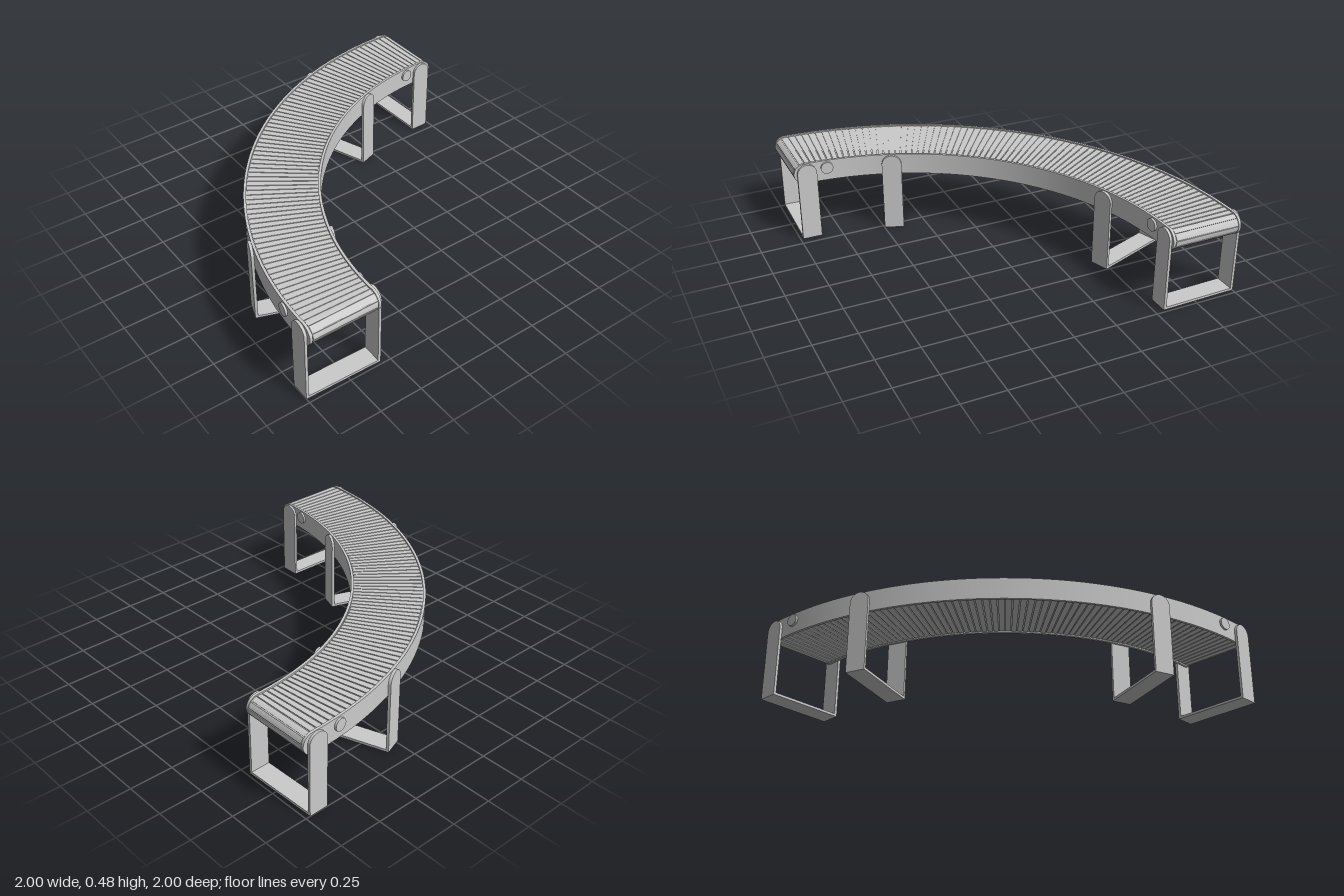
import * as THREE from 'three';
import { mergeGeometries, toCreasedNormals } from 'three/addons/utils/BufferGeometryUtils.js';

const C = 0.96;                          // turn centre is at (C, -C)
const LEN = 1.735 * Math.PI / 2;         // length of the quarter turn along its middle
const MID = 0.4175;                      // height of the conveyor's centre line
const END = 0.04;                        // straight run past each end of the turn

const material = new THREE.MeshStandardMaterial({ color: 0xcccccc });

// Position at distance s along the turn, radius r, height y
function place(s, r, y) {
  const along = Math.min(Math.max(s, 0), LEN);
  const a = along / LEN * Math.PI / 2, extra = s - along;
  return [
    C - r * Math.cos(a) + extra * Math.sin(a),
    y,
    -C + r * Math.sin(a) + extra * Math.cos(a),
  ];
}

// Solid between radii r0 and r1; each station is [inner [s, y], outer [s, y]]
function sweep(r0, r1, stations) {
  const pos = [], index = [];
  for (const [lo, hi] of stations) {
    pos.push(...place(lo[0], r1, lo[1]), ...place(lo[0], r0, lo[1]),
      ...place(hi[0], r0, hi[1]), ...place(hi[0], r1, hi[1]));
  }
  const quad = (a, b, c, d) => index.push(a, b, c, a, c, d);
  for (let k = 0; k < stations.length - 1; k++) {
    for (let i = 0; i < 4; i++) {
      const j = (i + 1) % 4, a = 4 * k, b = a + 4;
      quad(a + i, a + j, b + j, b + i);
    }
  }
  const e = 4 * (stations.length - 1);
  quad(3, 2, 1, 0);
  quad(e, e + 1, e + 2, e + 3);
  const g = new THREE.BufferGeometry();
  g.setAttribute('position', new THREE.Float32BufferAttribute(pos, 3));
  g.setIndex(index);
  return toCreasedNormals(g, 0.5);
}

// Stations of a long bar with half-round ends
function roundEnded(h, end) {
  const out = [], s0 = h - end, s1 = LEN + end - h;
  const add = (s, half) => out.push([[s, MID - half], [s, MID + half]]);
  for (let i = 0; i < 8; i++) {
    const a = (0.49 - i * 0.06) * Math.PI;
    add(s0 - h * Math.sin(a), h * Math.cos(a));
  }
  for (let i = 0; i <= 64; i++) add(s0 + (s1 - s0) * i / 64, h);
  for (let i = 7; i >= 0; i--) {
    const a = (0.49 - i * 0.06) * Math.PI;
    add(s1 + h * Math.sin(a), h * Math.cos(a));
  }
  return out;
}

// Point [s, y] at distance t round the belt loop, lifted off it
function beltPoint(t, radius, lift) {
  const s0 = radius - END + 0.003, s1 = LEN - s0;
  const run = s1 - s0, turn = Math.PI * radius, R = radius + lift;
  t = (t + 2 * (run + turn)) % (2 * (run + turn));
  if (t < run) return [s0 + t, MID + R];
  t -= run;
  if (t < turn) return [s1 + R * Math.sin(t / radius), MID + R * Math.cos(t / radius)];
  t -= turn;
  if (t < run) return [s1 - t, MID - R];
  t -= run;
  return [s0 - R * Math.sin(t / radius), MID - R * Math.cos(t / radius)];
}

function addMesh(parent, name, geometry) {
  const mesh = new THREE.Mesh(geometry, material);
  mesh.name = name;
  parent.add(mesh);
  return mesh;
}

// Group whose +x points outwards from the turn centre at the given angle
function radialGroup(name, degrees) {
  const g = new THREE.Group();
  g.name = name;
  g.position.set(C, 0, -C);
  g.rotation.y = Math.PI + THREE.MathUtils.degToRad(degrees);
  return g;
}

// Upright plate with a round top
function legPlate(x) {
  const w = 0.0575, top = 0.476 - w;
  const shape = new THREE.Shape();
  shape.moveTo(-w, 0);
  shape.lineTo(w, 0);
  shape.lineTo(w, top);
  shape.absarc(0, top, w, 0, Math.PI, false);
  shape.lineTo(-w, 0);
  const g = new THREE.ExtrudeGeometry(shape, { depth: 0.016, bevelEnabled: false, curveSegments: 20 });
  g.rotateY(Math.PI / 2);
  g.translate(x, 0, 0);
  return toCreasedNormals(g, 0.5);
}

export function createModel() {
  const model = new THREE.Group();
  model.name = 'curvedConveyor';

  // Curved side rails
  addMesh(model, 'outerRail', sweep(1.93, 1.945, roundEnded(0.0625, END)));
  addMesh(model, 'innerRail', sweep(1.525, 1.54, roundEnded(0.0625, END)));

  // Belt body and the slats around it
  addMesh(model, 'beltCore', sweep(1.54, 1.93, roundEnded(0.053, END - 0.004)));
  const radius = 0.053, count = 154;
  const loop = 2 * (LEN - 2 * (radius - END + 0.003) + Math.PI * radius);
  const slats = [];
  for (let i = 0; i < count; i++) {
    const t0 = loop * i / count + 0.003, t1 = loop * (i + 1) / count - 0.003;
    slats.push(sweep(1.543, 1.927, [t0, (t0 + t1) / 2, t1].map(
      (t) => [beltPoint(t, radius, -0.004), beltPoint(t, radius, 0.004)])));
  }
  addMesh(model, 'beltSlats', mergeGeometries(slats));

  // U-shaped leg frames
  [1.3, 20, 70, 88.7].forEach((angle, i) => {
    const leg = radialGroup('legFrame' + (i + 1), angle);
    addMesh(leg, 'outerLeg', legPlate(1.944));
    addMesh(leg, 'innerLeg', legPlate(1.51));
    const bar = addMesh(leg, 'footBar', new THREE.BoxGeometry(0.418, 0.015, 0.115));
    bar.position.set(1.735, 0.0075, 0);
    model.add(leg);
  });

  // Round bearing caps on both rails near the ends
  [5.8, 84.2].forEach((angle, i) => {
    const caps = radialGroup('bearingCaps' + (i + 1), angle);
    for (const [name, r] of [['outerCap', 1.949], ['innerCap', 1.521]]) {
      const cap = addMesh(caps, name, new THREE.CylinderGeometry(0.036, 0.036, 0.016, 32));
      cap.rotation.z = Math.PI / 2;
      cap.position.set(r, 0.435, 0);
    }
    model.add(caps);
  });

  return model;
}
